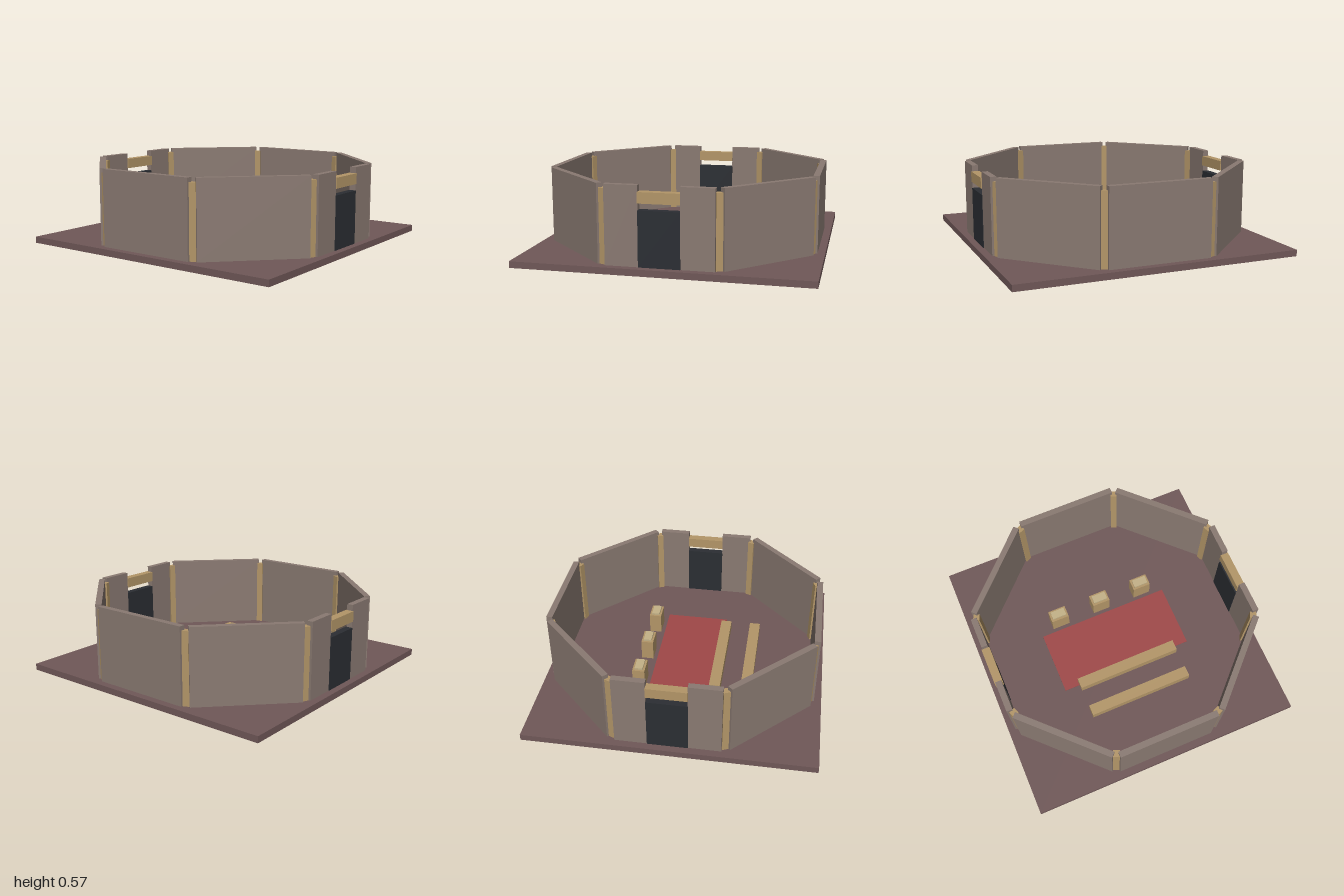
import * as THREE from 'three';

const FLOOR = 0.045;
const mat = (color) => new THREE.MeshStandardMaterial({ color, flatShading: true });

export function createModel() {
  const model = new THREE.Group();
  const stone = mat(0x8a7a72), ground = mat(0x705858), wood = mat(0xb39668);
  const paleWood = mat(0xc4b288), dark = mat(0x2b2e33), red = mat(0xa04848);

  // Box standing on height y, optionally turned about the vertical
  function box(name, material, w, h, d, x, y, z, turn = 0, parent = model) {
    const mesh = new THREE.Mesh(new THREE.BoxGeometry(w, h, d), material);
    mesh.name = name;
    mesh.position.set(x, y + h / 2, z);
    mesh.rotation.y = turn;
    parent.add(mesh);
    return mesh;
  }

  box('base', ground, 2, FLOOR, 2, 0, 0, 0);
  box('carpet', red, 1, 0.004, 0.465, 0, FLOOR, 0);

  // Eight walls around the floor, with a post inside each corner
  for (let i = 0; i < 8; i++) {
    const side = new THREE.Group();
    side.rotation.y = i * Math.PI / 4;
    model.add(side);
    if (i === 2 || i === 6) {
      side.name = 'gateSide';
      for (const s of [-1, 1]) {
        box('gateWall', stone, 0.223, 0.53, 0.043, s * 0.2485, FLOOR, 0.927, 0, side);
      }
      box('door', dark, 0.276, 0.37, 0.05, 0, FLOOR, 0.927, 0, side);
      box('lintel', wood, 0.276, 0.073, 0.058, 0, 0.46, 0.927, 0, side);
    } else {
      side.name = 'wallSide';
      box('wall', stone, 0.724, 0.53, 0.043, 0, FLOOR, 0.927, 0, side);
    }
    const a = (i + 0.5) * Math.PI / 4;
    box('cornerPost', wood, 0.045, 0.5, 0.045, 0.98 * Math.sin(a), FLOOR, 0.98 * Math.cos(a), a);
  }

  // Two long benches
  for (const z of [0.241, 0.464]) {
    box('bench', wood, 0.775, 0.075, 0.078, 0, FLOOR, z);
  }

  // Three pedestals with pale tops
  for (const x of [-0.335, 0, 0.335]) {
    box('pedestal', wood, 0.133, 0.15, 0.088, x, FLOOR, -0.304);
    box('pedestalTop', paleWood, 0.105, 0.014, 0.058, x, FLOOR + 0.15, -0.304);
  }

  return model;
}
